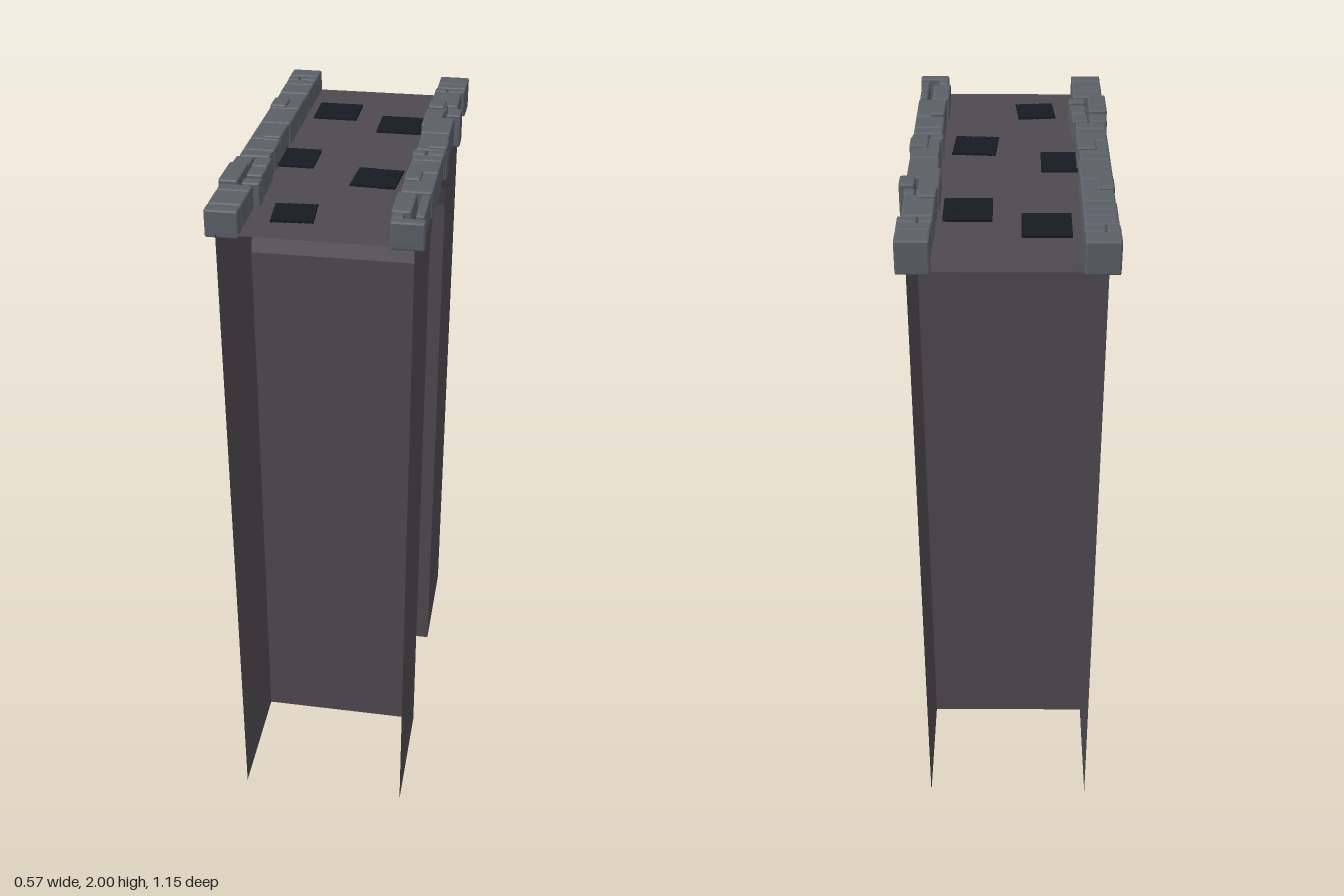
import * as THREE from 'three';
import { RoundedBoxGeometry } from 'three/addons/geometries/RoundedBoxGeometry.js';

const wallMat = new THREE.MeshStandardMaterial({ color: 0x4d494f, flatShading: true, side: THREE.DoubleSide });
const stoneMat = new THREE.MeshStandardMaterial({ color: 0x5a6067, flatShading: true });
const tileMat = new THREE.MeshStandardMaterial({ color: 0x161b22, flatShading: true });

const HALF_W = 0.25, HALF_L = 0.577, DECK_Y = 1.928;

// Half of the arch opening as [z, y], from the ground to the crown
const half = [[0.212, 0], [0.212, 1.714], [0.192, 1.778], [0.16, 1.82], [0.116, 1.86], [0.053, 1.889]];
const arch = [...half, [0, 1.894], ...half.slice().reverse().map(([z, y]) => [-z, y])];

function add(group, name, geometry, material) {
  const mesh = new THREE.Mesh(geometry, material);
  mesh.name = name;
  group.add(mesh);
  return mesh;
}

// Side wall: two piers joined over the arch
function sideWall() {
  const outline = [[-HALF_L, 0], [-HALF_L, DECK_Y], [HALF_L, DECK_Y], [HALF_L, 0], ...arch];
  const shape = new THREE.Shape(outline.map(([z, y]) => new THREE.Vector2(z, y)));
  return new THREE.ShapeGeometry(shape).rotateY(-Math.PI / 2);
}

// Underside of the arch: a strip bent along the opening
function archLining() {
  const geo = new THREE.PlaneGeometry(2 * HALF_W, 1, 1, arch.length - 1);
  const pos = geo.attributes.position;
  for (let i = 0; i < pos.count; i++) {
    const [z, y] = arch[Math.floor(i / 2)];
    pos.setY(i, y).setZ(i, z);
  }
  geo.computeVertexNormals();
  return geo;
}

// Parapet stones: [z start, z end, x inner, x outer, bottom, top]; x is a distance from the centre line
const B = 1.915, T = 1.99, LOW = 1.9, HIGH = 1.997;
const rightStones = [
  [-0.577, -0.52, 0.19, 0.28, 1.897, T],
  [-0.516, -0.48, 0.245, 0.28, B, T],
  [-0.516, -0.48, 0.19, 0.243, B, T],
  [-0.476, -0.434, 0.19, 0.278, B, T],
  [-0.43, -0.349, 0.19, 0.278, 1.92, T],
  [-0.342, -0.208, 0.19, 0.276, B, T],
  [-0.278, -0.21, 0.23, 0.278, LOW, HIGH],
  [-0.204, -0.08, 0.19, 0.278, B, T],
  [-0.076, 0.055, 0.194, 0.278, B, T],
  [-0.015, 0.052, 0.19, 0.243, LOW, HIGH],
  [0.058, 0.141, 0.19, 0.278, 1.91, T],
  [0.144, 0.187, 0.192, 0.278, B, T],
  [0.196, 0.254, 0.234, 0.284, LOW, T],
  [0.196, 0.254, 0.184, 0.23, LOW, T],
  [0.26, 0.388, 0.234, 0.287, LOW, HIGH],
  [0.26, 0.324, 0.182, 0.227, LOW, T],
  [0.346, 0.382, 0.178, 0.227, LOW, T],
  [0.394, 0.433, 0.192, 0.28, B, T],
  [0.436, 0.523, 0.192, 0.28, 1.92, T],
  [0.528, 0.57, 0.192, 0.28, B, T],
];
const leftStones = [
  [-0.577, -0.512, 0.19, 0.278, 1.897, T],
  [-0.51, -0.471, 0.19, 0.278, 1.9, T],
  [-0.465, -0.434, 0.187, 0.223, B, T],
  [-0.465, -0.434, 0.226, 0.278, B, T],
  [-0.431, -0.306, 0.187, 0.269, 1.92, T],
  [-0.37, -0.333, 0.187, 0.217, LOW, T],
  [-0.33, -0.272, 0.185, 0.233, LOW, HIGH],
  [-0.37, -0.272, 0.22, 0.24, B, T],
  [-0.302, -0.269, 0.242, 0.272, LOW, T],
  [-0.269, -0.135, 0.18, 0.236, LOW, T],
  [-0.26, -0.202, 0.245, 0.287, LOW, HIGH],
  [-0.198, -0.07, 0.187, 0.27, B, T],
  [-0.064, 0.064, 0.19, 0.27, B, T],
  [0, 0.061, 0.223, 0.275, LOW, HIGH],
  [0.067, 0.101, 0.183, 0.22, B, T],
  [0.067, 0.101, 0.226, 0.272, B, T],
  [0.107, 0.147, 0.187, 0.27, B, T],
  [0.15, 0.232, 0.187, 0.27, 1.91, T],
  [0.239, 0.37, 0.187, 0.27, B, T],
  [0.239, 0.3, 0.187, 0.23, LOW, HIGH],
  [0.376, 0.499, 0.18, 0.232, LOW, T],
  [0.385, 0.523, 0.244, 0.268, 1.92, T],
  [0.508, 0.54, 0.187, 0.217, LOW, T],
  [0.541, 0.57, 0.187, 0.274, B, T],
];

function parapet(name, stones, side) {
  const group = new THREE.Group();
  group.name = name;
  for (const [z0, z1, x0, x1, y0, y1] of stones) {
    const geo = new RoundedBoxGeometry(x1 - x0, y1 - y0, z1 - z0, 1, 0.005);
    add(group, 'parapetStone', geo, stoneMat)
      .position.set(side * (x0 + x1) / 2, (y0 + y1) / 2, (z0 + z1) / 2);
  }
  return group;
}

// Crack: a thin sliver cut along a zigzag path
function crackPath(points) {
  const there = points.map(([x, z]) => new THREE.Vector2(x, z - 0.0013));
  const back = points.map(([x, z]) => new THREE.Vector2(x + 0.001, z + 0.0013)).reverse();
  return new THREE.Path([...there, ...back]);
}

// Paving tile: thin square slab, optionally with chipped edges and cracks
function tile(size, chip, cracks) {
  const h = size / 2, n = chip ? 12 : 1, points = [];
  for (let s = 0; s < 4; s++) {
    for (let i = 0; i < n; i++) {
      const p = new THREE.Vector2(-h + size * i / n, -h + (i % 2) * chip);
      points.push(p.rotateAround(new THREE.Vector2(), s * Math.PI / 2));
    }
  }
  const shape = new THREE.Shape(points);
  shape.holes = cracks.map(crackPath);
  return new THREE.ExtrudeGeometry(shape, { depth: 0.01, bevelEnabled: false }).rotateX(Math.PI / 2);
}

// [x, z, size, turn, chip, cracks]
const tiles = [
  [-0.1, -0.367, 0.13, 0, 0, []],
  [0.105, -0.275, 0.13, 0, 0, [[[0.018, 0.006], [0.042, -0.012], [0.062, 0.008]]]],
  [-0.156, 0.037, 0.13, 0, 0, []],
  [0.095, 0.153, 0.126, -0.06, 0.003, [
    [[-0.026, 0.01], [0.012, 0.004], [0.03, -0.026], [0.058, -0.03]],
    [[-0.034, -0.057], [-0.024, -0.038]]]],
  [-0.08, 0.422, 0.112, 0.08, 0.003, [
    [[0.01, 0.026], [0.028, 0.022], [0.04, 0.034], [0.05, 0.032]],
    [[0.026, -0.034], [0.05, -0.044]]]],
];

export function createModel() {
  const model = new THREE.Group();
  model.name = 'bridgeSegment';

  for (const side of [-1, 1]) {
    add(model, side > 0 ? 'leftWall' : 'rightWall', sideWall(), wallMat).position.x = side * HALF_W;
  }
  add(model, 'archLining', archLining(), wallMat);

  const deck = new THREE.PlaneGeometry(2 * HALF_W, 2 * HALF_L).rotateX(-Math.PI / 2);
  add(model, 'deck', deck, wallMat).position.y = DECK_Y;

  model.add(parapet('leftParapet', leftStones, 1), parapet('rightParapet', rightStones, -1));

  for (const [x, z, size, turn, chip, cracks] of tiles) {
    const mesh = add(model, 'pavingTile', tile(size, chip, cracks), tileMat);
    mesh.position.set(x, DECK_Y + 0.007, z);
    mesh.rotation.y = turn;
  }
  return model;
}
